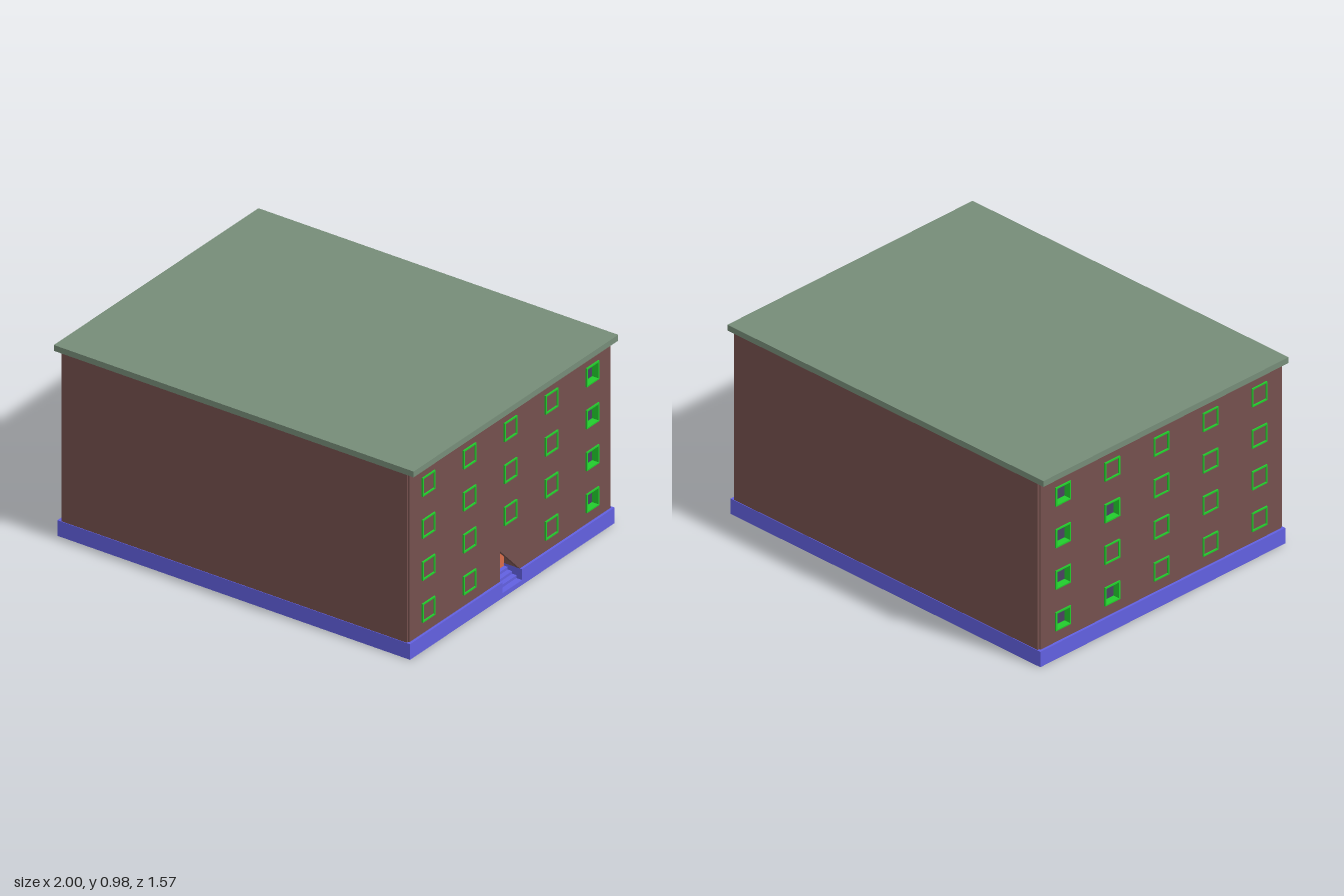
import * as THREE from 'three';

const mat = (color) => new THREE.MeshStandardMaterial({ color });
const brick = mat(0x74504d), blue = mat(0x6260e0), slate = mat(0x768c78);
const green = mat(0x22cc2c), orange = mat(0xd86c4a), glass = mat(0x4a4360);

function add(parent, name, geometry, material) {
  const mesh = new THREE.Mesh(geometry, material);
  mesh.name = name;
  parent.add(mesh);
  return mesh;
}

// Box given by its minimum and maximum corners
function box(parent, name, material, [x0, y0, z0], [x1, y1, z1]) {
  const m = add(parent, name, new THREE.BoxGeometry(x1 - x0, y1 - y0, z1 - z0), material);
  m.position.set((x0 + x1) / 2, (y0 + y1) / 2, (z0 + z1) / 2);
  return m;
}

const square = (u, y, r) => [[u - r, y - r], [u + r, y - r], [u + r, y + r], [u - r, y + r]];
const toVectors = (pts) => pts.map(([x, y]) => new THREE.Vector2(x, y));

// Flat panel with holes, extruded outward from depth z0 to z1
function panel(parent, name, material, outline, holes, z0, z1) {
  const shape = new THREE.Shape(toVectors(outline));
  for (const h of holes) shape.holes.push(new THREE.Path(toVectors(h)));
  const geo = new THREE.ExtrudeGeometry(shape, { depth: z1 - z0, bevelEnabled: false });
  const m = add(parent, name, geo, material);
  m.position.z = z0;
  return m;
}

const BASE = 0.08, TOP = 0.946, DOOR = 0.075;

// One windowed side, built facing +z and then turned outward
function buildSide(name, turn, hasDoor, isOpen) {
  const side = new THREE.Group();
  side.name = name;
  const holes = [];
  for (let col = -2; col <= 2; col++) {
    for (let row = 0; row < 4; row++) {
      if (hasDoor && col === 0 && row === 0) continue;
      const u = col * 0.314, y = 0.187 + row * 0.216;
      panel(side, 'windowFrame', green, square(u, y, 0.048), [square(u, y, 0.041)], 0.935, 0.974);
      if (isOpen(col, row)) {
        holes.push(square(u, y, 0.046));
        box(side, 'windowPane', glass, [u - 0.046, y - 0.046, 0.932], [u + 0.046, y + 0.046, 0.938]);
      }
    }
  }
  // Wall and plinth outlines, notched for the entrance where there is one
  const wallNotch = hasDoor ? [[-DOOR, BASE], [-DOOR, 0.235], [DOOR, BASE]] : [];
  const wall = [[-0.77, BASE], ...wallNotch, [0.77, BASE], [0.77, TOP], [-0.77, TOP]];
  panel(side, 'sideWall', brick, wall, holes, 0.947, 0.967);
  const baseNotch = hasDoor ? [[DOOR, BASE], [DOOR, 0.025], [-DOOR, 0.025], [-DOOR, BASE]] : [];
  const base = [[-0.784, 0], [0.784, 0], [0.784, BASE], ...baseNotch, [-0.784, BASE]];
  panel(side, 'sidePlinth', blue, base, [], 0.968, 0.98);
  side.rotation.y = turn;
  return side;
}

// Recessed doorway with steps climbing inward
function buildEntrance(side) {
  const entrance = new THREE.Group();
  entrance.name = 'entrance';
  side.add(entrance);
  box(entrance, 'door', orange, [-DOOR, 0.067, 0.872], [DOOR, 0.24, 0.88]);
  box(entrance, 'doorLintel', brick, [-DOOR, 0.236, 0.87], [DOOR, 0.242, 0.95]);
  for (const s of [-1, 1]) {
    const a = Math.min(s * DOOR, s * 0.08), b = Math.max(s * DOOR, s * 0.08);
    box(entrance, 'doorReveal', brick, [a, BASE, 0.87], [b, 0.24, 0.95]);
    box(entrance, 'stepCheek', blue, [a, 0.022, 0.87], [b, BASE, 0.97]);
  }
  const heights = [0.025, 0.04, 0.053, 0.067];
  heights.forEach((h, i) => {
    const front = 0.975 - i * 0.025;
    box(entrance, 'step', blue, [-DOOR, h - 0.014, front - 0.027], [DOOR, h, front]);
  });
}

export function createModel() {
  const building = new THREE.Group();
  building.name = 'apartmentBlock';

  // Windowed right and left sides
  const right = buildSide('rightSide', Math.PI / 2, true, (c) => c === 2);
  buildEntrance(right);
  const left = buildSide('leftSide', -Math.PI / 2, false,
    (c, r) => c === -2 || (c === -1 && r % 2 === 0));
  building.add(right, left);

  // Plain front and back walls with their plinths
  for (const s of [1, -1]) {
    const end = new THREE.Group();
    end.name = s > 0 ? 'frontSide' : 'backSide';
    box(end, 'endWall', brick, [-0.96, BASE, 0.764], [0.96, TOP, 0.781]);
    box(end, 'endPlinth', blue, [-0.975, 0, 0.772], [0.975, BASE, 0.784]);
    if (s < 0) end.rotation.y = Math.PI;
    building.add(end);
  }

  // Ground floor slab closing the plinth, which is open below; notched at the steps
  const slab = [[-0.975, -0.78], [0.975, -0.78], [0.975, -DOOR], [0.88, -DOOR],
    [0.88, DOOR], [0.975, DOOR], [0.975, 0.78], [-0.975, 0.78]];
  const floor = panel(building, 'floorSlab', blue, slab, [], 0, 0.004);
  floor.rotation.x = -Math.PI / 2;
  floor.position.set(0, BASE - 0.005, 0);

  // Flat roof overhanging the windowed sides
  box(building, 'roof', slate, [-1, 0.945, -0.784], [1, 0.975, 0.784]);
  return building;
}
